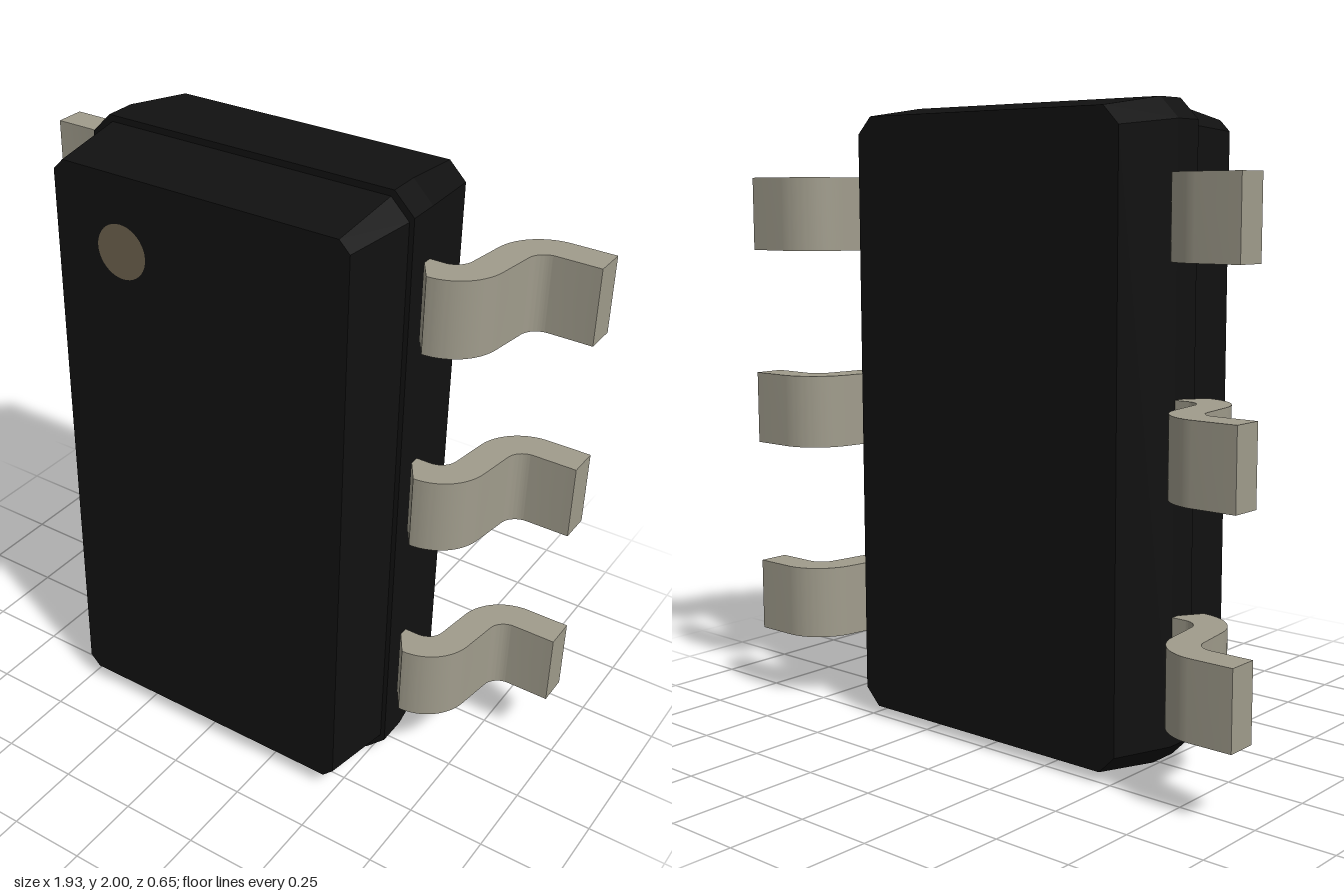
import * as THREE from 'three';
import { toCreasedNormals } from 'three/addons/utils/BufferGeometryUtils.js';

const bodyMat = new THREE.MeshStandardMaterial({ color: 0x111111 });
const leadMat = new THREE.MeshStandardMaterial({ color: 0xa09c8c });
const dotMat = new THREE.MeshStandardMaterial({ color: 0x6e624e });

// Rectangle with cut corners, counter-clockwise seen from +z
function cutRect(w, h, c, z) {
  return [
    [w, -h + c], [w, h - c], [w - c, h], [-w + c, h],
    [-w, h - c], [-w, -h + c], [-w + c, -h], [w - c, -h],
  ].map(([x, y]) => [x, y + 1, z]);
}

// Moulded case: sections from back to front, joined by flat quads and capped
function bodyGeometry() {
  const loops = [
    cutRect(0.52, 0.965, 0.055, -0.258),
    cutRect(0.55, 1, 0.065, -0.015),
    cutRect(0.55, 1, 0.065, 0.085),
    cutRect(0.535, 0.98, 0.06, 0.085), // small step at the parting line
    cutRect(0.5, 0.945, 0.035, 0.325),
  ];
  const n = 8, last = (loops.length - 1) * n, index = [];
  for (let l = 0; l < loops.length - 1; l++) {
    for (let i = 0; i < n; i++) {
      const a = l * n + i, b = l * n + (i + 1) % n;
      index.push(a, b, b + n, a, b + n, a + n);
    }
  }
  for (let i = 1; i < n - 1; i++) {
    index.push(0, i + 1, i, last, last + i, last + i + 1);
  }
  const geo = new THREE.BufferGeometry();
  geo.setAttribute('position', new THREE.Float32BufferAttribute(loops.flat(2), 3));
  geo.setIndex(index);
  const flat = geo.toNonIndexed();
  flat.computeVertexNormals();
  return flat;
}

// S-bent lead: outline in x and z, extruded along y
function leadGeometry(side) {
  const ri = 0.06, ro = 0.16, tilt = 0.143, up = Math.PI / 2;
  const c1 = [0.595, -0.075], c2 = [0.83, -0.165];
  const s = new THREE.Shape();
  s.moveTo(0.53, 0.085);
  s.absarc(...c1, ro, up, tilt, true);
  s.absarc(...c2, ri, Math.PI + tilt, 3 * up, false);
  s.lineTo(0.967, -0.225);
  s.lineTo(0.967, -0.325);
  s.absarc(...c2, ro, 3 * up, Math.PI + tilt, true);
  s.absarc(...c1, ri, tilt, up, false);
  s.lineTo(0.53, -0.015);
  const outline = s.getPoints(14).map((p) => new THREE.Vector2(p.x * side, p.y));
  const geo = new THREE.ExtrudeGeometry(new THREE.Shape(outline), { depth: 0.24, bevelEnabled: false });
  geo.translate(0, 0, -0.12);
  geo.rotateX(Math.PI / 2);
  return toCreasedNormals(geo, 0.5);
}

export function createModel() {
  const group = new THREE.Group();
  group.name = 'chipPackage';
  const add = (name, geo, mat, x = 0, y = 0, z = 0) => {
    const mesh = new THREE.Mesh(geo, mat);
    mesh.name = name;
    mesh.position.set(x, y, z);
    group.add(mesh);
  };

  add('body', bodyGeometry(), bodyMat);

  // Pin-one marker on the front face
  add('markerDot', new THREE.CircleGeometry(0.086, 40), dotMat, -0.262, 1.71, 0.327);

  // Three leads per side
  for (const side of [1, -1]) {
    const geo = leadGeometry(side);
    [1.658, 1.003, 0.348].forEach((y, i) => {
      add(`${side > 0 ? 'left' : 'right'}Lead${i + 1}`, geo, leadMat, 0, y, 0);
    });
  }
  return group;
}
